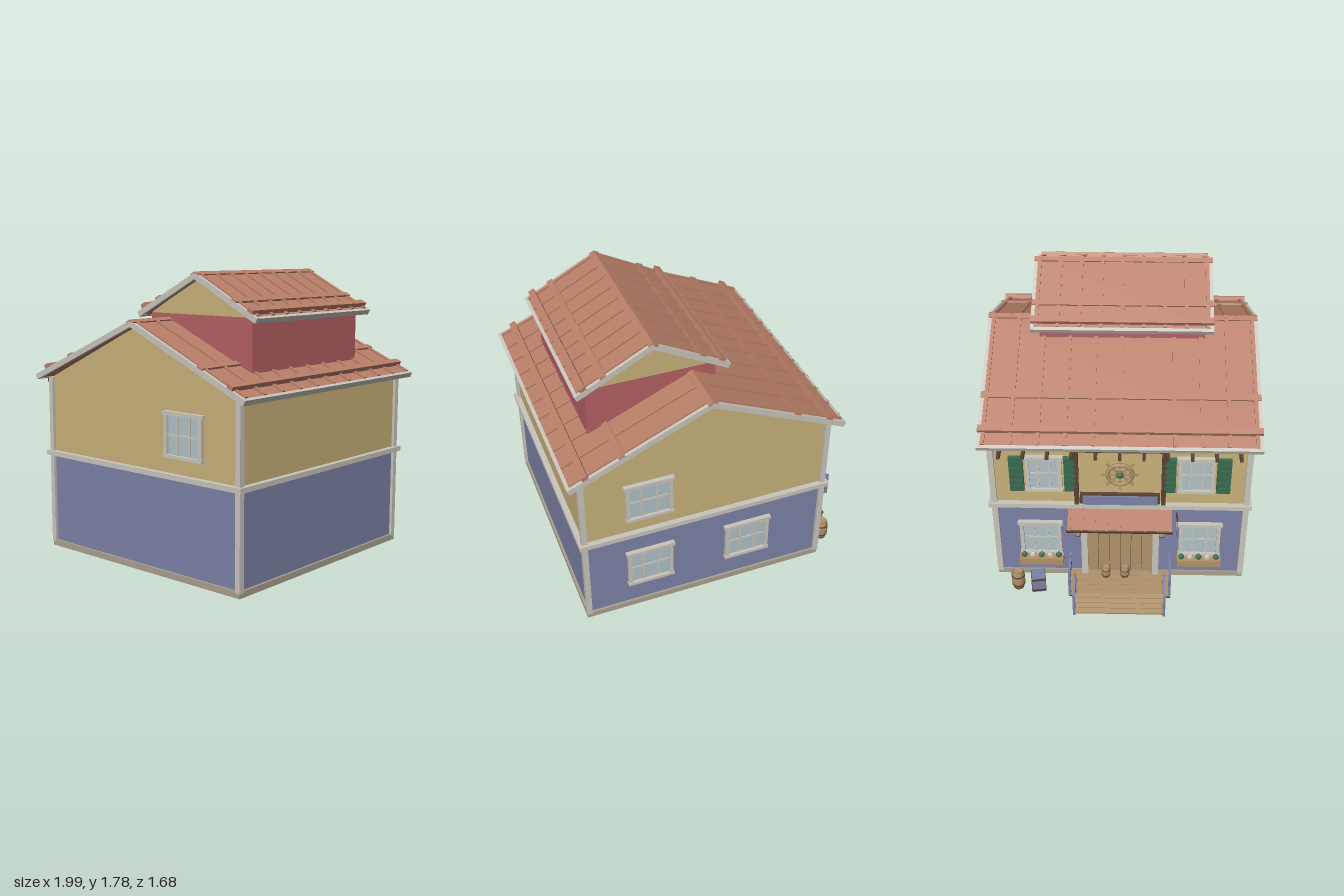
import * as THREE from 'three';

const mat = (name, color, extra = {}) => Object.assign(new THREE.MeshStandardMaterial({ color, ...extra }), { name });
const M = {
  tan: mat('tan plaster', 0xc8b27a), blue: mat('blue plaster', 0x7c82a6), red: mat('red plaster', 0xb46063),
  tile: mat('terracotta', 0xb87e68), trim: mat('pale trim', 0xc9c5bc), stone: mat('stone', 0xa9a190),
  glass: mat('glass', 0xafc2c8), wood: mat('wood', 0xb0926a), dark: mat('dark wood', 0x5a4234), green: mat('green', 0x3a6b50),
};

function add(parent, name, geo, m, x = 0, y = 0, z = 0) {
  const mesh = new THREE.Mesh(geo, m);
  mesh.name = name;
  mesh.position.set(x, y, z);
  parent.add(mesh);
  return mesh;
}
const box = (p, name, m, w, h, d, x, y, z) => add(p, name, new THREE.BoxGeometry(w, h, d), m, x, y, z);
// Box given by its limits
const span = (p, name, m, x0, x1, y0, y1, z0, z1) =>
  box(p, name, m, x1 - x0, y1 - y0, z1 - z0, (x0 + x1) / 2, (y0 + y1) / 2, (z0 + z1) / 2);
// Square bar between two points of the xy plane
function bar(p, name, m, x0, y0, x1, y1, z, t, d = t) {
  const b = box(p, name, m, Math.hypot(x1 - x0, y1 - y0), t, d, (x0 + x1) / 2, (y0 + y1) / 2, z);
  b.rotation.z = Math.atan2(y1 - y0, x1 - x0);
  return b;
}
function group(parent, name, x = 0, y = 0, z = 0, ry = 0) {
  const g = new THREE.Group();
  g.name = name;
  g.position.set(x, y, z);
  g.rotation.y = ry;
  parent.add(g);
  return g;
}
// Triangular end wall prism running along z
function gable(p, name, x0, x1, y, peakX, peakY, zHalf) {
  const s = new THREE.Shape([[x0, y], [x1, y], [peakX, peakY]].map(a => new THREE.Vector2(...a)));
  add(p, name, new THREE.ExtrudeGeometry(s, { depth: 2 * zHalf, bevelEnabled: false }), M.tan, 0, 0, -zHalf);
}

// Two tiled slopes with ribs, cross battens and pale edge boards
function roof(parent, name, o) {
  const g = group(parent, name, o.x, o.y, 0), a = Math.atan(o.slope), T = 0.028;
  for (const s of [1, -1]) {
    const side = group(g, 'roofSlope', 0, 0, 0, s > 0 ? 0 : Math.PI);
    const tilt = group(side, 'slopeParts');
    tilt.rotation.z = -a;
    const L = o.half / Math.cos(a);
    span(tilt, 'tileSlab', M.tile, 0, L - 0.01, -T, 0, -o.z + 0.01, o.z - 0.01);
    for (const e of [1, -1]) box(tilt, 'vergeBoard', M.trim, L, T + 0.006, 0.022, L / 2, -T / 2, e * (o.z - 0.011));
    box(tilt, 'eaveBoard', M.trim, 0.022, T + 0.004, 2 * o.z, L - 0.011, -T / 2, 0);
    for (let i = 0; i < o.ribs; i++) {
      const z = (i / (o.ribs - 1) * 2 - 1) * (o.z - 0.035);
      span(tilt, 'tileRib', M.tile, 0, L - 0.022, -0.005, 0.01, z - 0.011, z + 0.011);
    }
    o.battens.forEach(([d, h]) =>
      box(tilt, 'batten', M.tile, 0.04, h, 2 * o.z - 0.002, d / Math.cos(a), h / 2 - 0.004, 0));
    span(tilt, 'ridgeTile', M.tile, -0.005, 0.03, -0.01, 0.008, -o.z, o.z);
  }
}

// Window facing local +z, three panes wide and two high
function windowUnit(parent, x, y, z, ry, w = 0.29) {
  const g = group(parent, 'window', x, y, z, ry), h = 0.25;
  box(g, 'glass', M.glass, w, h, 0.006, 0, 0, 0.006);
  for (const s of [1, -1]) {
    box(g, 'jamb', M.trim, 0.024, h, 0.024, s * (w / 2 - 0.012), 0, 0.012);
    box(g, 'mullion', M.trim, 0.012, h, 0.014, s * w / 6, 0, 0.008);
  }
  box(g, 'crossBar', M.trim, w, 0.012, 0.014, 0, 0, 0.008);
  box(g, 'lintel', M.trim, w + 0.02, 0.022, 0.03, 0, h / 2, 0.014);
  box(g, 'sill', M.trim, w + 0.01, 0.02, 0.03, 0, -h / 2, 0.014);
  return g;
}

function barrel(parent, x, y, z, r, h) {
  const g = group(parent, 'barrel', x, y, z);
  const pts = [[0, 0], [0.78, 0], [1, 0.35], [1, 0.65], [0.78, 1], [0.7, 1], [0.7, 0.95], [0, 0.95]];
  add(g, 'barrelBody', new THREE.LatheGeometry(pts.map(q => new THREE.Vector2(q[0] * r, q[1] * h)), 12), M.wood);
  for (const f of [0.25, 0.75])
    add(g, 'hoop', new THREE.CylinderGeometry(r * 0.99, r * 0.99, h * 0.07, 12), M.dark, 0, h * f, 0);
}

function lantern(parent, x, y, z) {
  const g = group(parent, 'lantern', x, y, z);
  add(g, 'lampGlass', new THREE.CylinderGeometry(0.024, 0.018, 0.045, 6), M.tan);
  add(g, 'lampCap', new THREE.ConeGeometry(0.034, 0.025, 6), M.dark, 0, 0.034, 0);
  add(g, 'lampFoot', new THREE.CylinderGeometry(0.02, 0.012, 0.012, 6), M.dark, 0, -0.028, 0);
  box(g, 'lampArm', M.dark, 0.008, 0.008, z, 0, 0.05, -z / 2);
}

// Entrance side: local x runs along the wall, local z points outwards
function facade(parent) {
  const f = group(parent, 'facade', -0.645, 0, 0, -Math.PI / 2);
  for (const s of [1, -1]) {
    windowUnit(f, s * 0.46, 0.87, 0, 0, 0.22);
    for (const e of [1, -1]) {
      const sh = group(f, 'shutter', s * 0.46 + e * 0.165, 0.87, 0.016);
      box(sh, 'shutterPanel', M.green, 0.085, 0.26, 0.024, 0, 0, 0);
      for (let i = -2; i <= 2; i++) box(sh, 'slat', M.green, 0.06, 0.012, 0.012, 0, i * 0.045, 0.012);
    }
    windowUnit(f, s * 0.5, 0.34, 0, 0, 0.26);
    // Flower box
    box(f, 'flowerBox', M.wood, 0.28, 0.05, 0.06, s * 0.5, 0.175, 0.04);
    for (let i = -2; i <= 2; i++)
      add(f, 'plant', new THREE.IcosahedronGeometry(0.022, 0), i % 2 ? M.trim : M.green, s * 0.5 + i * 0.055, 0.212, 0.04);
    // Door surround and bay posts
    span(f, 'doorPost', M.trim, s * 0.225 - 0.02, s * 0.225 + 0.02, 0.04, 0.54, 0, 0.04);
    span(f, 'bayPost', M.dark, s * 0.265 - 0.014, s * 0.265 + 0.014, 0.62, 1.1, 0, 0.03);
    lantern(f, s * 0.26, 0.46, 0.085);
  }
  // Plank door
  for (let i = 0; i < 6; i++) box(f, 'doorPlank', M.wood, 0.066, 0.46, 0.012, -0.1725 + i * 0.069, 0.27, 0.004);
  box(f, 'doorBacking', M.dark, 0.42, 0.46, 0.006, 0, 0.27, 0.002);
  box(f, 'doorLintel', M.trim, 0.49, 0.04, 0.045, 0, 0.53, 0.02);
  for (const x of [-0.09, 0.03]) barrel(f, x, 0.05, 0.06, 0.03, 0.08);
  // Sloping awning on braces
  const awning = group(f, 'awning', 0, 0.56, 0.085);
  awning.rotation.x = 0.32;
  box(awning, 'awningTop', M.tile, 0.64, 0.014, 0.16, 0, 0, 0);
  for (let i = -4; i <= 4; i++) box(awning, 'awningRib', M.tile, 0.014, 0.008, 0.16, i * 0.077, 0.01, 0);
  box(awning, 'awningEdge', M.dark, 0.65, 0.018, 0.01, 0, 0, 0.08);
  // Sign board and wheel ornament
  box(f, 'signBoard', M.blue, 0.46, 0.08, 0.02, 0, 0.665, 0.022);
  box(f, 'signFrame', M.dark, 0.49, 0.105, 0.02, 0, 0.665, 0.012);
  box(f, 'upperRail', M.dark, 0.53, 0.024, 0.03, 0, 1.06, 0.012);
  const wheel = group(f, 'wheelOrnament', 0, 0.88, 0.025);
  add(wheel, 'wheelRim', new THREE.TorusGeometry(0.075, 0.014, 6, 20), M.wood);
  add(wheel, 'wheelHub', new THREE.SphereGeometry(0.025, 10, 6), M.green);
  for (let i = 0; i < 4; i++)
    box(wheel, 'spoke', M.wood, 0.23, 0.013, 0.013, 0, 0, 0).rotation.z = i * Math.PI / 4;
  // Rafter ends below the eave
  for (let i = -5; i <= 5; i++) box(f, 'rafterEnd', M.dark, 0.02, 0.025, 0.12, i * 0.142, 1.075, 0.055);
}

// Deck, ramp and handrails
function porch(parent) {
  const p = group(parent, 'porch');
  for (let i = 0; i < 5; i++)
    span(p, 'deckPlank', M.wood, -0.86 + i * 0.042, -0.82 + i * 0.042, 0.028, 0.042, -0.325, 0.325);
  span(p, 'deckFrame', M.dark, -0.855, -0.655, 0.012, 0.03, -0.32, 0.32);
  for (let i = 0; i < 4; i++)
    bar(p, 'rampPlank', M.wood, -0.993 + i * 0.035, 0.013 + i * 0.007, -0.961 + i * 0.035, 0.0194 + i * 0.007, 0, 0.012, 0.56);
  for (const s of [1, -1]) {
    const zr = s * 0.28, zd = s * 0.315;
    bar(p, 'rampBeam', M.dark, -0.99, 0.007, -0.85, 0.026, zr * 0.97, 0.014);
    span(p, 'rampPost', M.blue, -1, -0.984, 0, 0.17, zr - 0.008, zr + 0.008);
    span(p, 'middlePost', M.blue, -0.858, -0.842, 0.03, 0.215, zr - 0.008, zr + 0.008);
    bar(p, 'rampRail', M.blue, -0.995, 0.165, -0.85, 0.205, zr, 0.014);
    bar(p, 'rampLowRail', M.dark, -0.992, 0.095, -0.85, 0.13, zr, 0.008);
    span(p, 'deckPost', M.blue, -0.858, -0.842, 0.03, 0.215, zd - 0.008, zd + 0.008);
    bar(p, 'deckRail', M.blue, -0.85, 0.208, -0.66, 0.208, zd, 0.014);
    bar(p, 'deckLowRail', M.dark, -0.85, 0.13, -0.66, 0.13, zd, 0.008);
  }
}

export function createModel() {
  const root = new THREE.Group();
  root.name = 'house';
  // Storeys, plinth and trim
  span(root, 'plinth', M.stone, -0.655, 0.92, 0.012, 0.05, -0.79, 0.79);
  span(root, 'lowerStorey', M.blue, -0.645, 0.905, 0.05, 0.62, -0.775, 0.775);
  span(root, 'upperStorey', M.tan, -0.645, 0.905, 0.62, 1.11, -0.775, 0.775);
  gable(root, 'mainGable', -0.645, 0.905, 1.11, 0.13, 1.472, 0.775);
  span(root, 'storeyBelt', M.trim, -0.68, 0.94, 0.608, 0.638, -0.81, 0.81);
  for (const x of [-0.645, 0.905]) for (const z of [-0.775, 0.775])
    box(root, 'cornerPost', M.trim, 0.034, 1.07, 0.036, x, 0.575, z);
  roof(root, 'mainRoof', { x: 0.13, y: 1.5, slope: 0.44, half: 0.862, z: 0.84, ribs: 11, battens: [[0.535, 0.016], [0.75, 0.032]] });

  // Raised roof room
  span(root, 'roofRoom', M.red, -0.02, 0.77, 1.15, 1.53, -0.51, 0.51);
  gable(root, 'roofRoomGable', -0.02, 0.77, 1.53, 0.375, 1.75, 0.51);
  roof(root, 'upperRoof', { x: 0.375, y: 1.772, slope: 0.52, half: 0.467, z: 0.56, ribs: 9, battens: [[0.295, 0.016], [0.41, 0.032]] });

  // Windows in the end walls
  windowUnit(root, 0.5, 0.865, 0.775, 0);
  windowUnit(root, 0.5, 0.865, -0.775, Math.PI);
  for (const x of [0.5, -0.14]) windowUnit(root, x, 0.335, -0.775, Math.PI);

  facade(root);
  porch(root);

  // Barrel, crate and hanging flag beside the entrance
  barrel(root, -0.76, 0, -0.65, 0.043, 0.14);
  const crate = group(root, 'crate', -0.77, 0.065, -0.52, 0.15);
  box(crate, 'crateBody', M.blue, 0.085, 0.12, 0.085, 0, 0, 0);
  for (const y of [-0.045, 0.045]) box(crate, 'crateBand', M.dark, 0.092, 0.014, 0.092, 0, y, 0);
  bar(root, 'flagPole', M.dark, -0.81, 0.635, -0.65, 0.555, 0.35, 0.009);
  const flag = group(root, 'flag', -0.775, 0.555, 0.35);
  flag.rotation.z = 0.1;
  box(flag, 'flagCloth', M.blue, 0.08, 0.085, 0.008, 0, 0, 0);
  box(flag, 'flagPatch', M.tan, 0.035, 0.04, 0.012, 0.005, 0, 0);
  return root;
}
